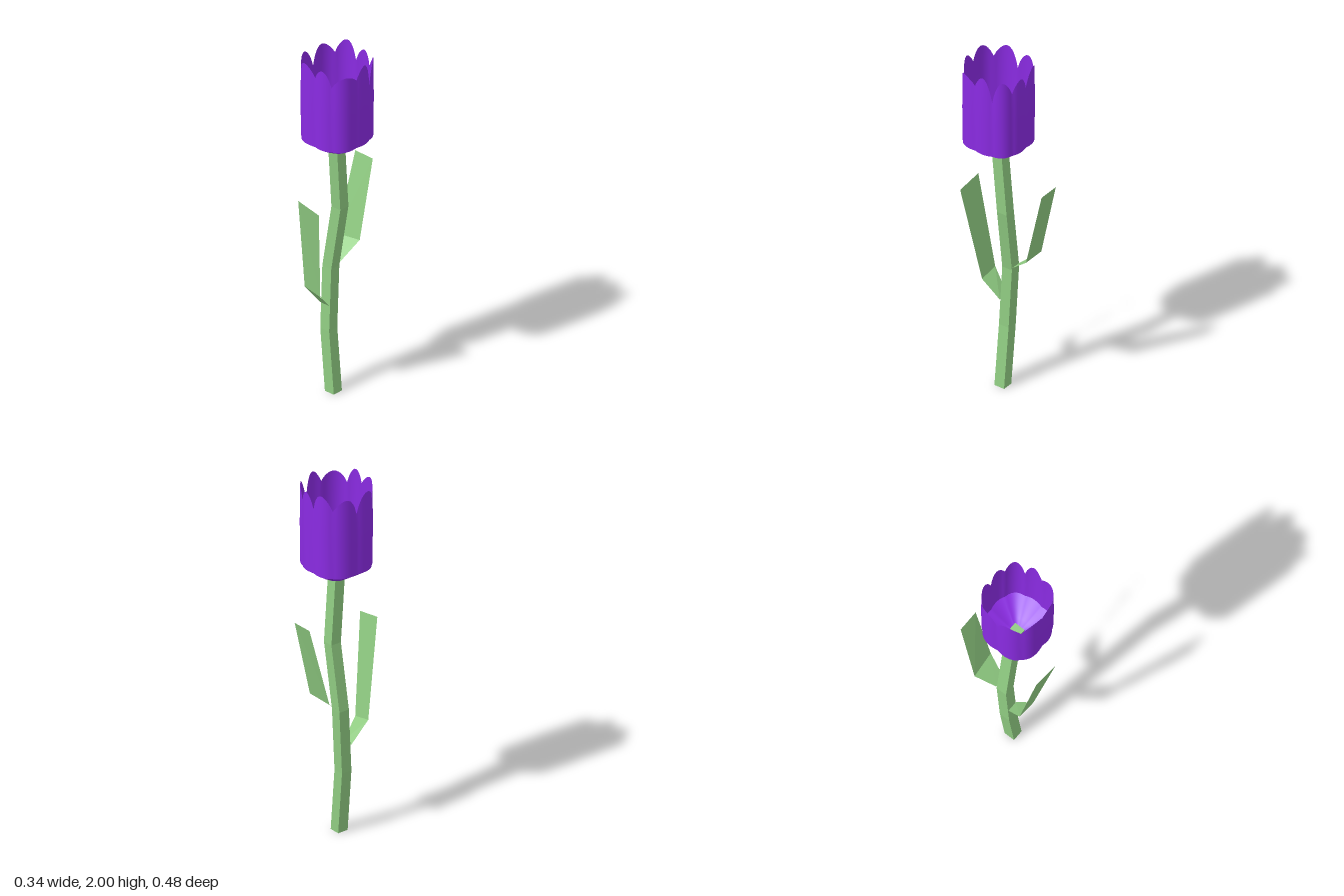
import * as THREE from 'three';

const green = new THREE.MeshStandardMaterial({ color: 0x90cc82, flatShading: true, side: THREE.DoubleSide });
const purple = new THREE.MeshStandardMaterial({ color: 0x8a2be2, side: THREE.DoubleSide });

// Skin a list of rows of [x, y, z] points, bottom row first
function loft(rows, closed) {
  const n = rows[0].length;
  const index = [];
  for (let j = 0; j < rows.length - 1; j++) {
    for (let i = 0; i < (closed ? n : n - 1); i++) {
      const a = j * n + i, b = j * n + (i + 1) % n;
      index.push(a, b, a + n, b, b + n, a + n);
    }
  }
  const geo = new THREE.BufferGeometry();
  geo.setAttribute('position', new THREE.Float32BufferAttribute(rows.flat(2), 3));
  geo.setIndex(index);
  geo.computeVertexNormals();
  return geo;
}

function mesh(name, geo, material) {
  const m = new THREE.Mesh(geo, material);
  m.name = name;
  return m;
}

// Square stem following a bent path of [x, y, z] centres
function stemGeometry() {
  const path = [[-0.028, 0, 0.03], [-0.063, 0.36, 0.027], [-0.066, 0.72, 0.008], [-0.01, 1.09, 0], [-0.005, 1.475, 0.031]];
  const ring = ([x, y, z], h) => [[-h, h], [h, h], [h, -h], [-h, -h]].map(([dx, dz]) => [x + dx, y, z + dz]);
  const rows = path.map(p => ring(p, 0.031));
  return loft([ring(path[0], 0), ...rows, ring(path[4], 0)], true).toNonIndexed();
}

// Flower cup: rounded-square plan, lobed rim with notches at these angles (degrees from the front)
const NOTCHES = [0, 34, 80, 116, 150, 185, 225, 270, 315, 360];
const DEPTHS = [1.94, 1.91, 1.93, 1.86, 1.91, 1.9, 1.92, 1.88, 1.92, 1.94];
const TIPS = [2, 1.97, 2, 1.99, 1.98, 2, 1.98, 1.99, 2];
const STEPS = 10; // columns per lobe

function flowerColumns() {
  const columns = [];
  for (let k = 0; k < NOTCHES.length - 1; k++) {
    for (let s = 0; s < STEPS; s++) {
      const t = s / STEPS;
      const a = THREE.MathUtils.degToRad(THREE.MathUtils.lerp(NOTCHES[k], NOTCHES[k + 1], t));
      const lobe = Math.sin(Math.PI * t);
      const low = THREE.MathUtils.lerp(DEPTHS[k], DEPTHS[k + 1], t);
      const square = Math.pow(Math.abs(Math.sin(a)) ** 2.8 + Math.abs(Math.cos(a)) ** 2.8, -1 / 2.8);
      columns.push({ a, r: 0.168 * square + 0.007 * (lobe - 0.6), top: low + (TIPS[k] - low) * lobe ** 0.8 });
    }
  }
  return columns;
}

function flower() {
  const columns = flowerColumns();
  const row = (scale, height) => columns.map(c =>
    [Math.sin(c.a) * c.r * scale, height(c), 0.036 + Math.cos(c.a) * c.r * scale]);
  const group = new THREE.Group();
  group.name = 'flower';

  // Shallow bowl under the petals
  const bowl = [[0, 1.445], [0.2, 1.447], [0.4, 1.463], [0.7, 1.495], [1, 1.53]].map(([s, y]) => row(s, () => y));
  group.add(mesh('flowerBase', loft(bowl, true), purple));

  // Upright petals
  const wall = [0, 0.5, 0.85, 1].map(t => row(1 + 0.015 * Math.sin(Math.PI * t), c => 1.53 + (c.top - 1.53) * t));
  group.add(mesh('petals', loft(wall, true), purple));
  return group;
}

export function createModel() {
  const model = new THREE.Group();
  model.name = 'tulip';
  model.add(mesh('stem', stemGeometry(), green));

  // Thin folded leaves: stem end, bend, tip
  model.add(mesh('frontLeaf', loft([
    [[-0.097, 0.51, 0.055], [-0.034, 0.51, 0.055]],
    [[-0.12, 0.634, 0.148], [-0.01, 0.612, 0.15]],
    [[-0.088, 1.19, 0.233], [0.06, 1.163, 0.238]],
  ]).toNonIndexed(), green));
  model.add(mesh('backLeaf', loft([
    [[-0.035, 0.735, -0.025], [-0.097, 0.735, -0.025]],
    [[0, 0.832, -0.14], [-0.147, 0.82, -0.128]],
    [[0, 1.273, -0.24], [-0.122, 1.275, -0.24]],
  ]).toNonIndexed(), green));

  model.add(flower());
  return model;
}
